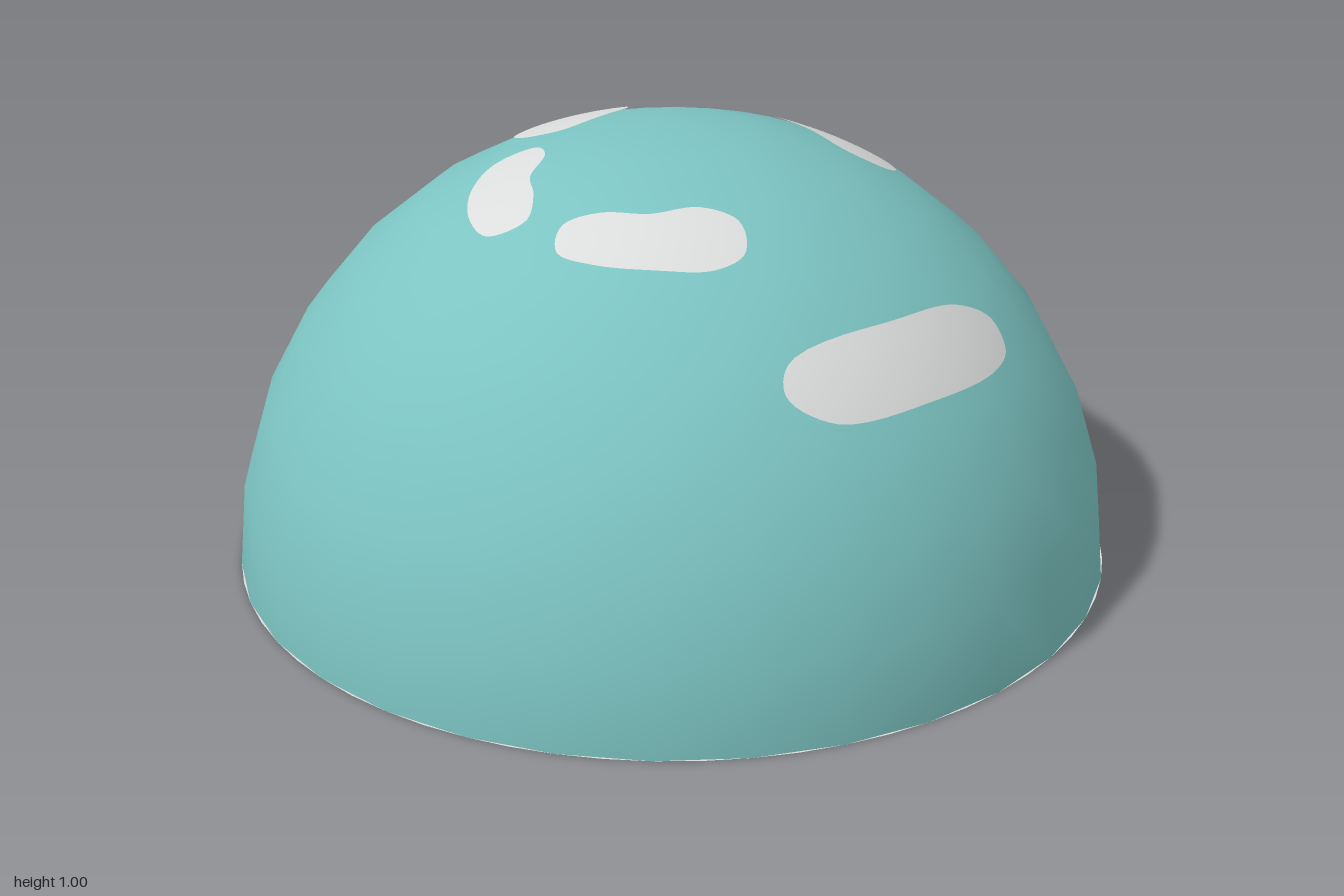
import * as THREE from 'three';

const teal = new THREE.MeshStandardMaterial({ name: 'teal', color: 0x7cc4c2 });
const paleGrey = new THREE.MeshStandardMaterial({ name: 'paleGrey', color: 0xdadddc, side: THREE.DoubleSide });

// Spot outlines as seen from above, each a loop of x, z pairs
const spots = {
  frontSpot: [-.32, .68, -.28, .645, 0, .675, .2, .67, .29, .69, .28, .74, .2, .778, 0, .8, -.25, .755],
  backSpot: [-.235, -.64, -.18, -.71, -.02, -.74, .165, -.715, .3, -.63, .32, -.55, .245, -.525, .14, -.565,
    -.02, -.605, -.19, -.6],
  crownSpot: [-.18, -.29, -.15, -.365, -.05, -.39, .085, -.385, .12, -.32, .075, -.23, -.02, -.205, -.14, -.21],
  rightBackSpot: [-.235, -.185, -.31, -.235, -.405, -.2, -.485, -.11, -.51, -.015, -.45, .035, -.385, -.015,
    -.34, -.08, -.26, -.125],
  rightFrontSpot: [-.475, .165, -.42, .12, -.355, .16, -.29, .245, -.2, .3, -.16, .375, -.21, .445, -.29, .435,
    -.375, .36, -.45, .255],
  leftUpperSpot: [.355, -.05, .385, -.125, .45, -.145, .51, -.065, .52, .055, .5, .18, .45, .26, .385, .275,
    .325, .215, .34, .095],
  leftLowerSpot: [.53, -.41, .565, -.445, .645, -.39, .725, -.265, .775, -.105, .77, .055, .69, .17, .625, .1,
    .61, -.05, .58, -.24],
};

// A thin patch that follows the dome: rings from its centre out to a smooth outline
function spotGeometry(flat) {
  const rings = 8, sides = 60, radius = 1.002;
  const corners = [];
  for (let i = 0; i < flat.length; i += 2) corners.push(new THREE.Vector2(flat[i], flat[i + 1]));
  if (THREE.ShapeUtils.area(corners) > 0) corners.reverse();
  const onDome = corners.map(p => new THREE.Vector3(p.x, Math.sqrt(1 - p.lengthSq()), p.y));
  const outline = new THREE.CatmullRomCurve3(onDome, true);
  const rim = outline.getPoints(sides).map(p => p.normalize());
  const centre = new THREE.Vector3();
  rim.forEach(p => centre.add(p));
  centre.normalize();

  const positions = [], normals = [], index = [];
  for (let r = 0; r <= rings; r++) {
    for (let s = 0; s <= sides; s++) {
      const n = centre.clone().lerp(rim[s], r / rings).normalize();
      normals.push(n.x, n.y, n.z);
      positions.push(n.x * radius, n.y * radius, n.z * radius);
      if (r < rings && s < sides) {
        const a = r * (sides + 1) + s, b = a + sides + 1;
        index.push(a, b, b + 1);
        if (r > 0) index.push(a, b + 1, a + 1);
      }
    }
  }
  const geometry = new THREE.BufferGeometry();
  geometry.setAttribute('position', new THREE.Float32BufferAttribute(positions, 3));
  geometry.setAttribute('normal', new THREE.Float32BufferAttribute(normals, 3));
  geometry.setIndex(index);
  return geometry;
}

export function createModel() {
  const group = new THREE.Group();
  group.name = 'spottedDome';
  const add = (name, geometry, material) => {
    const mesh = new THREE.Mesh(geometry, material);
    mesh.name = name;
    group.add(mesh);
  };
  const hemisphere = r => new THREE.SphereGeometry(r, 32, 8, 0, Math.PI * 2, 0, Math.PI / 2);

  // Outer shell and pale lining
  add('dome', hemisphere(1), teal);
  add('lining', hemisphere(0.98), paleGrey);

  // Flat underside with a round opening
  const base = new THREE.Shape().absarc(0, 0, 1, 0, Math.PI * 2);
  base.holes.push(new THREE.Path().absarc(-0.29, 0.47, 0.25, 0, Math.PI * 2, true));
  add('underside', new THREE.ShapeGeometry(base, 32).rotateX(Math.PI / 2), paleGrey);

  // Painted spots
  for (const [name, flat] of Object.entries(spots)) add(name, spotGeometry(flat), paleGrey);
  return group;
}
